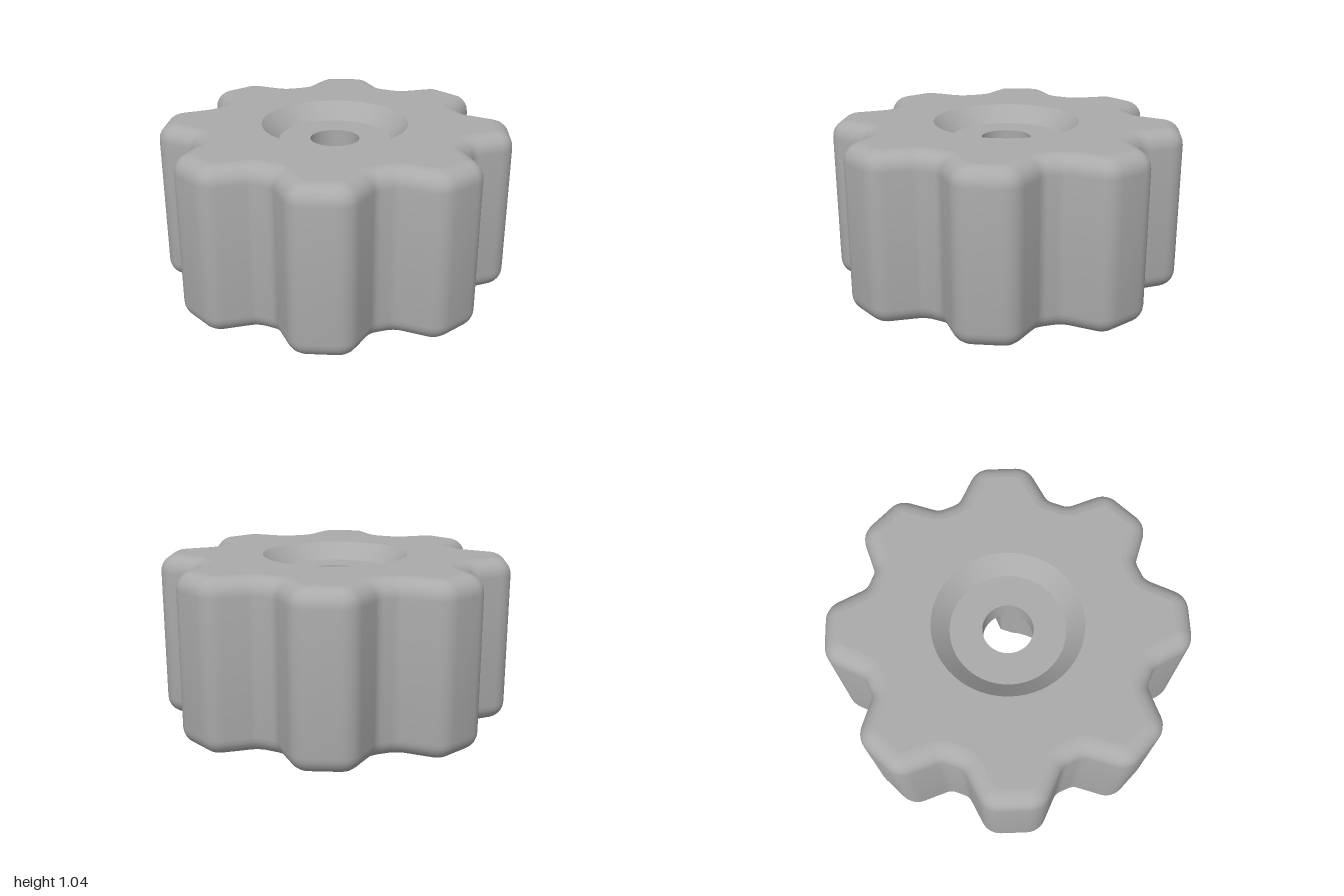
import * as THREE from 'three';
import { mergeGeometries, toCreasedNormals } from 'three/addons/utils/BufferGeometryUtils.js';

const LOBES = 8, CORNER_STEPS = 6;
const BOTTOM = 0.06, TOP = 1.04, CEILING = 0.8, FILLET = 0.1, WALL = 0.18;

// Sharp corners of the eight-lobed plan, as [x, z]
const corners = [];
for (let k = 0; k < LOBES; k++) {
  const a = ((k + 0.5) / LOBES) * Math.PI * 2;
  const rv = Math.hypot(0.842, 0.06), av = Math.PI / LOBES - Math.atan2(0.06, 0.842);
  const rt = Math.hypot(1.03, 0.155), at = Math.atan2(0.155, 1.03);
  for (const [r, b] of [[rv, -av], [rt, -at], [rt, at], [rv, av]]) {
    corners.push([r * Math.cos(a + b), r * Math.sin(a + b)]);
  }
}

// Lobed outline moved inward by d, with rounded corners
function outline(d) {
  const pts = [], n = corners.length;
  for (let i = 0; i < n; i++) {
    const p = corners[i], q = corners[(i + n - 1) % n], s = corners[(i + 1) % n];
    const a1 = Math.atan2(-(p[0] - q[0]), p[1] - q[1]);
    let turn = Math.atan2(-(s[0] - p[0]), s[1] - p[1]) - a1;
    turn = Math.atan2(Math.sin(turn), Math.cos(turn));
    const mid = a1 + turn / 2, m = 1 / Math.cos(turn / 2);
    const sign = turn > 0 ? 1 : -1;
    const r = sign > 0 ? Math.max(0.012, 0.12 - d) : 0.08 + d;
    for (let j = 0; j <= CORNER_STEPS; j++) {
      const a = a1 + (turn * j) / CORNER_STEPS;
      pts.push([
        p[0] - m * Math.cos(mid) * (d + sign * r) + sign * r * Math.cos(a),
        p[1] - m * Math.sin(mid) * (d + sign * r) + sign * r * Math.sin(a),
      ]);
    }
  }
  return pts;
}

const circle = (r) => Array.from({ length: 64 }, (_, i) => {
  const a = (i / 64) * Math.PI * 2;
  return [r * Math.cos(a), r * Math.sin(a)];
});

// C-shaped section of the hub, open towards +x
function hubSection(outer, inner, halfSlot) {
  const pts = [], steps = 56;
  for (const [r, dir] of [[outer, 1], [inner, -1]]) {
    const a0 = Math.asin(halfSlot / r), span = Math.PI * 2 - 2 * a0;
    for (let i = 0; i <= steps; i++) {
      const t = dir > 0 ? i / steps : 1 - i / steps;
      pts.push([r * Math.cos(a0 + span * t), r * Math.sin(a0 + span * t)]);
    }
  }
  return pts;
}

// Skin through stacked rings of equal length
function loft(rings, inward = false) {
  const pos = [], idx = [], n = rings[0].pts.length;
  for (const { pts, y } of rings) for (const [x, z] of pts) pos.push(x, y, z);
  for (let k = 0; k < rings.length - 1; k++) {
    for (let i = 0; i < n; i++) {
      const a = k * n + i, b = k * n + ((i + 1) % n), c = a + n, d = b + n;
      if (inward) idx.push(a, b, c, b, d, c);
      else idx.push(a, c, b, b, c, d);
    }
  }
  const g = new THREE.BufferGeometry();
  g.setAttribute('position', new THREE.Float32BufferAttribute(pos, 3));
  g.setIndex(idx);
  return toCreasedNormals(g, 0.5);
}

// Flat horizontal face with an optional hole
function plate(pts, hole, y, up) {
  const vec = (list) => list.map(([x, z]) => new THREE.Vector2(x, up ? -z : z));
  const shape = new THREE.Shape(vec(pts));
  if (hole) shape.holes.push(new THREE.Path(vec(hole)));
  const g = new THREE.ShapeGeometry(shape).toNonIndexed();
  g.deleteAttribute('uv');
  return g.rotateX(up ? -Math.PI / 2 : Math.PI / 2).translate(0, y, 0);
}

export function createModel() {
  const group = new THREE.Group();
  const grey = new THREE.MeshStandardMaterial({ color: 0xaaaaaa });
  grey.name = 'grey plastic';
  const add = (name, ...geos) => {
    const mesh = new THREE.Mesh(geos.length > 1 ? mergeGeometries(geos) : geos[0], grey);
    mesh.name = name;
    group.add(mesh);
  };

  // Outer grip with rounded rims
  const lower = [], upper = [];
  for (let i = 0; i <= 6; i++) {
    const a = (i / 6) * Math.PI / 2;
    const d = FILLET * (1 - Math.sin(a)), h = FILLET * (1 - Math.cos(a));
    lower.push({ pts: outline(d), y: BOTTOM + h });
    upper.unshift({ pts: outline(d), y: TOP - h });
  }
  add('lobedGrip', loft([...lower, ...upper]));
  add('topFace', plate(outline(FILLET), circle(0.43), TOP, true));
  add('bottomRim', plate(outline(FILLET), outline(WALL), BOTTOM, false));

  // Hollow underside
  add('cavity',
    loft([{ pts: outline(WALL), y: BOTTOM }, { pts: outline(WALL), y: CEILING }], true),
    plate(outline(WALL), circle(0.145), CEILING, false));

  // Conical recess and through hole
  const ring = (r, y) => ({ pts: circle(r), y });
  add('recess',
    loft([ring(0.33, 0.94), ring(0.43, TOP)], true),
    plate(circle(0.33), circle(0.145), 0.94, true));
  add('throughHole', loft([ring(0.145, CEILING), ring(0.145, 0.94)], true));

  // Slotted hub with a chamfered foot
  const foot = hubSection(0.48, 0.35, 0.17), collar = hubSection(0.54, 0.35, 0.1);
  add('slottedHub',
    loft([{ pts: foot, y: 0 }, { pts: collar, y: 0.07 }, { pts: collar, y: CEILING }]),
    plate(foot, null, 0, false));

  return group;
}
